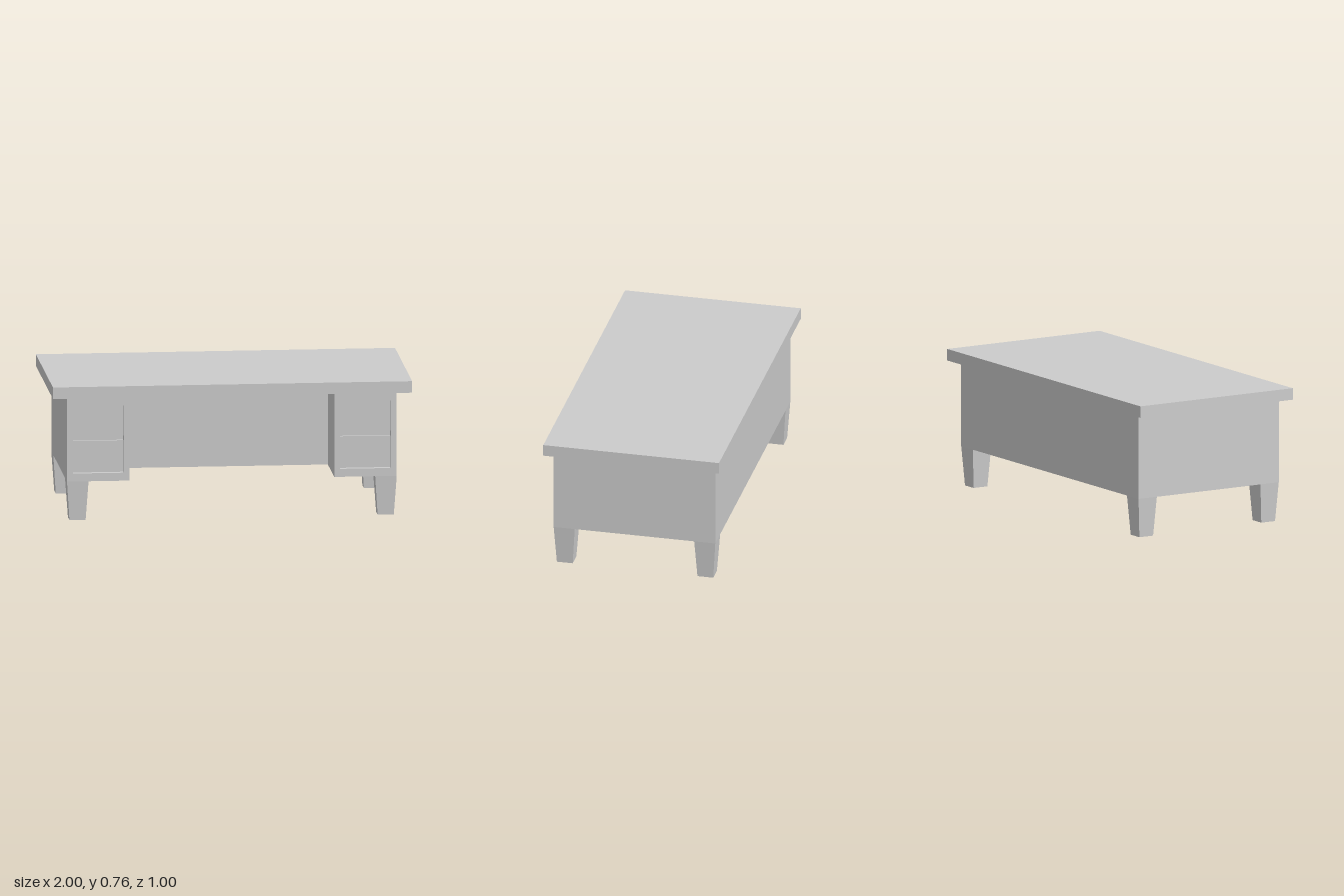
import * as THREE from 'three';

const grey = new THREE.MeshStandardMaterial({ color: 0xcccccc, flatShading: true });
const greySheet = new THREE.MeshStandardMaterial({ color: 0xcccccc, flatShading: true, side: THREE.DoubleSide });

// Main levels and extents
const X = 0.918, Z = 0.46, FLOOR = 0.22, CEIL = 0.695, TOP = 0.76;
const INNER = 0.57;      // inner side of each pedestal
const KNEE = 0.085;      // depth position of the knee panel
const RECESS = 0.045;    // thickness of the pedestal front
const H = CEIL - FLOOR, MID = (CEIL + FLOOR) / 2;

function add(parent, name, geometry, x, y, z, material = grey) {
  const mesh = new THREE.Mesh(geometry, material);
  mesh.name = name;
  mesh.position.set(x, y, z);
  parent.add(mesh);
  return mesh;
}

function rect(path, x0, y0, x1, y1) {
  path.moveTo(x0, y0);
  path.lineTo(x1, y0);
  path.lineTo(x1, y1);
  path.lineTo(x0, y1);
  path.closePath();
  return path;
}

// Pedestal with a framed front, two inset drawers, thin walls and a floor
function createPedestal(side) {
  const g = new THREE.Group();
  g.name = side > 0 ? 'leftPedestal' : 'rightPedestal';
  const xs = (a, b) => [Math.min(side * a, side * b), Math.max(side * a, side * b)];

  const [f0, f1] = xs(INNER, X);
  const [d0, d1] = xs(0.602, 0.885);
  const shape = rect(new THREE.Shape(), f0, FLOOR, f1, CEIL);
  shape.holes.push(rect(new THREE.Path(), d0, 0.265, d1, 0.645));
  const frame = new THREE.ExtrudeGeometry(shape, { depth: RECESS, bevelEnabled: false });
  add(g, 'drawerFrame', frame, 0, 0, Z - RECESS);

  const dx = (d0 + d1) / 2, dw = d1 - d0;
  add(g, 'drawerBacking', new THREE.PlaneGeometry(dw, 0.38), dx, 0.455, Z - RECESS, greySheet);
  for (const [y0, y1] of [[0.265, 0.443], [0.47, 0.645]]) {
    add(g, 'drawerFront', new THREE.BoxGeometry(dw, y1 - y0, 0.015), dx, (y0 + y1) / 2, Z - 0.0375);
  }

  // The inner wall stops at the knee panel; the outer wall runs full depth
  const innerDepth = Z - RECESS - KNEE;
  add(g, 'innerWall', new THREE.PlaneGeometry(innerDepth, H), side * INNER, MID, KNEE + innerDepth / 2, greySheet)
    .rotation.y = Math.PI / 2;
  const depth = 2 * Z - RECESS;
  add(g, 'outerWall', new THREE.PlaneGeometry(depth, H), side * X, MID, -RECESS / 2, greySheet)
    .rotation.y = Math.PI / 2;
  add(g, 'pedestalFloor', new THREE.PlaneGeometry(X - INNER, depth), (f0 + f1) / 2, FLOOR, -RECESS / 2, greySheet)
    .rotation.x = Math.PI / 2;
  return g;
}

export function createModel() {
  const desk = new THREE.Group();
  desk.name = 'desk';

  // Overhanging top slab
  add(desk, 'deskTop', new THREE.BoxGeometry(2, TOP - CEIL, 1), 0, (TOP + CEIL) / 2, 0);

  // Thin back and knee panels, with an open space between them
  add(desk, 'backPanel', new THREE.PlaneGeometry(2 * X, H), 0, MID, -Z, greySheet);
  add(desk, 'kneePanel', new THREE.PlaneGeometry(2 * INNER, H), 0, MID, KNEE, greySheet);

  // Square legs tapering to the ground, flush with the body corners
  const legGeometry = new THREE.CylinderGeometry(0.06 * Math.SQRT2, 0.045 * Math.SQRT2, FLOOR, 4);
  legGeometry.rotateY(Math.PI / 4);
  for (const side of [1, -1]) {
    desk.add(createPedestal(side));
    for (const end of [1, -1]) {
      add(desk, end > 0 ? 'frontLeg' : 'backLeg', legGeometry, side * (X - 0.06), FLOOR / 2, end * (Z - 0.06));
    }
  }
  return desk;
}
